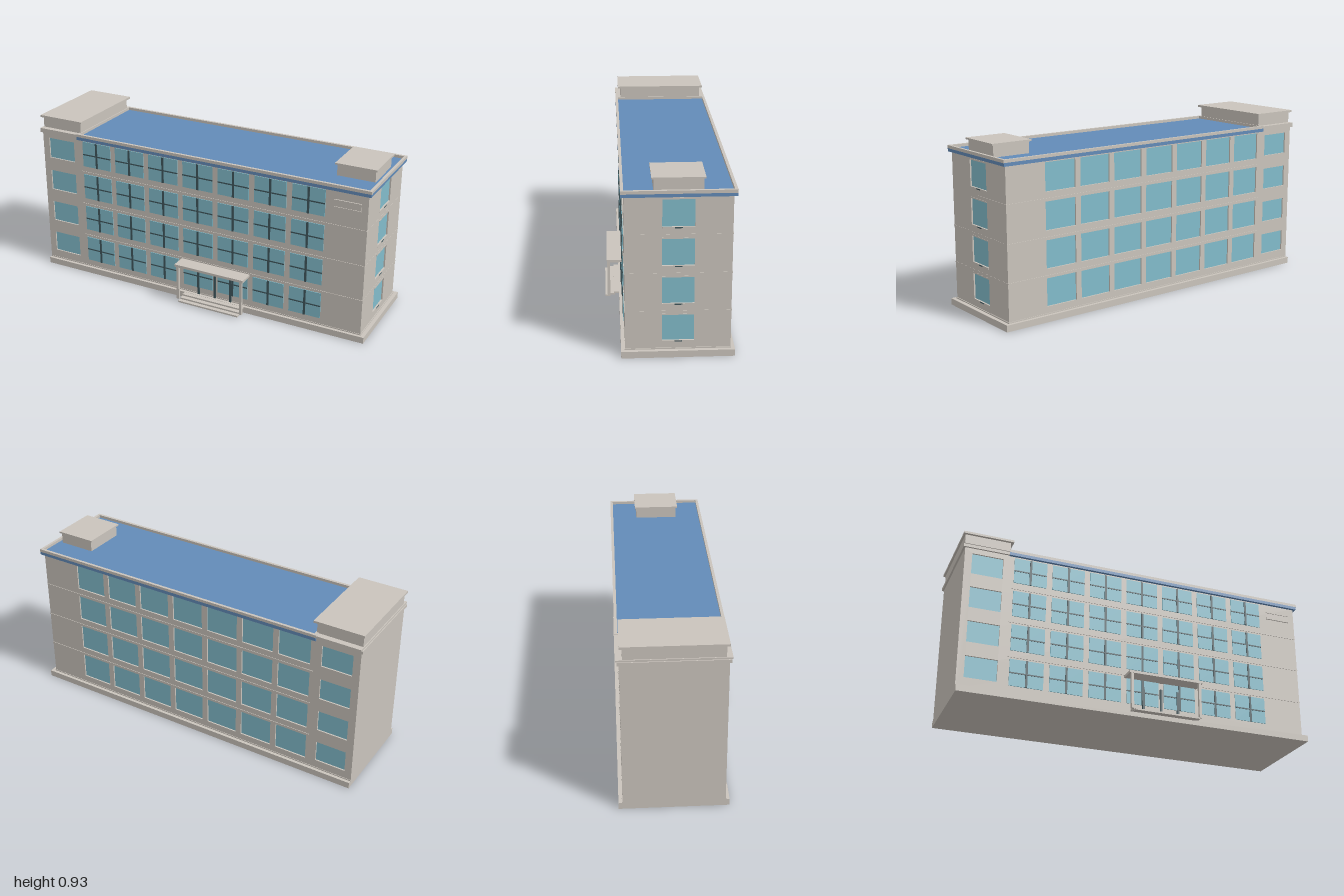
import * as THREE from 'three';

const mat = (name, color) => {
  const m = new THREE.MeshStandardMaterial({ color });
  m.name = name;
  return m;
};

export function createModel() {
  const stone = mat('warm stone', 0xcac4bc);
  const glass = mat('window glass', 0x82bccb);
  const blue = mat('roof blue', 0x638bb8);
  const dark = mat('dark frame', 0x3f565c);

  const model = new THREE.Group();
  model.name = 'officeBuilding';

  const add = (name, geometry, material) => {
    const mesh = new THREE.Mesh(geometry, material);
    mesh.name = name;
    model.add(mesh);
    return mesh;
  };
  // Box given by its extents on each axis
  const box = (name, x0, x1, y0, y1, z0, z1, material = stone) => {
    const mesh = add(name, new THREE.BoxGeometry(x1 - x0, y1 - y0, z1 - z0), material);
    mesh.position.set((x0 + x1) / 2, (y0 + y1) / 2, (z0 + z1) / 2);
    return mesh;
  };
  const rect = (path, [a0, a1, b0, b1]) => {
    path.moveTo(a0, b0);
    path.lineTo(a1, b0);
    path.lineTo(a1, b1);
    path.lineTo(a0, b1);
    path.closePath();
    return path;
  };
  // Extruded slab with rectangular openings
  const slab = (name, outline, holes, depth, material = stone) => {
    const shape = rect(new THREE.Shape(), outline);
    for (const h of holes) shape.holes.push(rect(new THREE.Path(), h));
    return add(name, new THREE.ExtrudeGeometry(shape, { depth, bevelEnabled: false }), material);
  };

  const L = -0.99, R = 0.975, F = 0.22, B = -0.295, T = 0.012, TOP = 0.83;
  const floors = [0, 1, 2, 3].map(i => 0.076 + i * 0.1975);
  const columns = [0, 1, 2, 3, 4, 5, 6].map(i => -0.628 + i * 0.214);
  const H = 0.148, W = 0.182;

  // Window openings
  const wingHoles = floors.map(y => [-0.95, -0.78, y + 0.01, y + 0.13]);
  const backHoles = floors.flatMap(y => columns.map(x => [x - W / 2, x + W / 2, y, y + H]));
  const sideHoles = floors.map(y => [-0.04, 0.115, y, y + H]);

  // Core and pierced walls
  box('core', L, R - T, 0.02, TOP, B + T, F - T);
  slab('frontWall', [L, R, 0.02, TOP], wingHoles, T).position.z = F - T;
  slab('backWall', [L, R, 0.02, TOP], [...wingHoles, ...backHoles], T).position.z = B;
  const side = slab('rightWall', [-(F - T), -(B + T), 0.02, TOP], sideHoles, T);
  side.rotation.y = Math.PI / 2;
  side.position.x = R - T;

  // Recessed panes of the wing, back and right end
  for (const [a, b, c, d] of wingHoles) {
    box('wingWindowFront', a, b, c, d, F - T, F - T + 0.004, glass);
  }
  for (const [a, b, c, d] of [...wingHoles, ...backHoles]) {
    box('backWindow', a, b, c, d, B + T - 0.004, B + T, glass);
  }
  for (const [a, b, c, d] of sideHoles) {
    box('sideWindow', R - T, R - T + 0.004, c, d, -b, -a, glass);
    box('sideSill', R - T, R + 0.001, c - 0.004, c + 0.004, -b, -a);
    box('sideLintel', R - T, R + 0.001, d - 0.007, d, -b, -a);
    box('sideCatch', R - T, R + 0.002, c - 0.003, c + 0.003, -0.057, -0.02, dark);
  }

  // Front window grid with dark crossbars
  for (const y of floors) {
    for (const x of columns) {
      box('frontWindow', x - W / 2, x + W / 2, y, y + H, F, F + 0.004, glass);
      box('mullion', x - 0.006, x + 0.006, y, y + H, F + 0.003, F + 0.007, dark);
      box('transom', x - W / 2, x + W / 2, y + 0.068, y + 0.075, F + 0.003, F + 0.006, dark);
    }
  }

  // Floor belts
  for (const y of [0.234, 0.432, 0.63]) {
    box('floorBelt', -0.735, R + 0.001, y, y + 0.006, B - 0.003, F + 0.003);
  }

  // Plinth
  box('plinth', L, 1, 0, 0.035, -0.315, 0.24);
  box('plinthLip', L, R + 0.004, 0.035, 0.041, B - 0.003, F + 0.003);

  // Blue roof slab, parapet ring and wing cornice
  box('roofSlab', -0.75, 0.99, 0.825, 0.843, -0.312, 0.235, blue);
  const parapet = slab('parapet', [-0.75, 0.992, -0.235, 0.312],
    [[-0.735, 0.977, -0.22, 0.297]], 0.016);
  parapet.rotation.x = -Math.PI / 2;
  parapet.position.y = 0.842;
  box('wingCornice', -1, -0.745, 0.828, 0.845, -0.305, 0.23);
  box('wingCorniceTop', -0.995, -0.745, 0.845, 0.855, -0.312, 0.235);

  // Roof houses with overhanging caps
  box('wingAttic', -0.99, -0.74, 0.85, 0.915, -0.28, 0.205);
  box('wingAtticCap', -1, -0.725, 0.915, 0.927, -0.295, 0.22);
  box('stairHouse', 0.748, 0.955, 0.84, 0.904, -0.157, 0.08);
  box('stairHouseCap', 0.738, 0.965, 0.904, 0.913, -0.165, 0.09);

  // Blank plaque at the upper right of the front
  box('plaque', 0.795, 0.94, 0.733, 0.775, F, F + 0.003);
  for (const y of [0.733, 0.772]) {
    box('plaqueRail', 0.795, 0.94, y, y + 0.004, F, F + 0.007);
  }

  // Entrance canopy, posts, door bars and steps
  box('canopy', -0.09, 0.33, 0.218, 0.232, F, 0.304);
  for (const x of [-0.08, 0.308]) {
    box('canopyPost', x, x + 0.014, 0.02, 0.218, 0.287, 0.302);
  }
  for (const x of [0.018, 0.12, 0.217]) {
    box('doorBar', x - 0.006, x + 0.006, 0.036, 0.18, F, F + 0.009, dark);
  }
  [[0.025, 0.235, 0.267], [0.016, 0.262, 0.292], [0.007, 0.288, 0.315]].forEach(([y, z0, z1]) => {
    box('entranceStep', -0.063, 0.305, y, y + 0.009, z0, z1);
  });

  return model;
}
